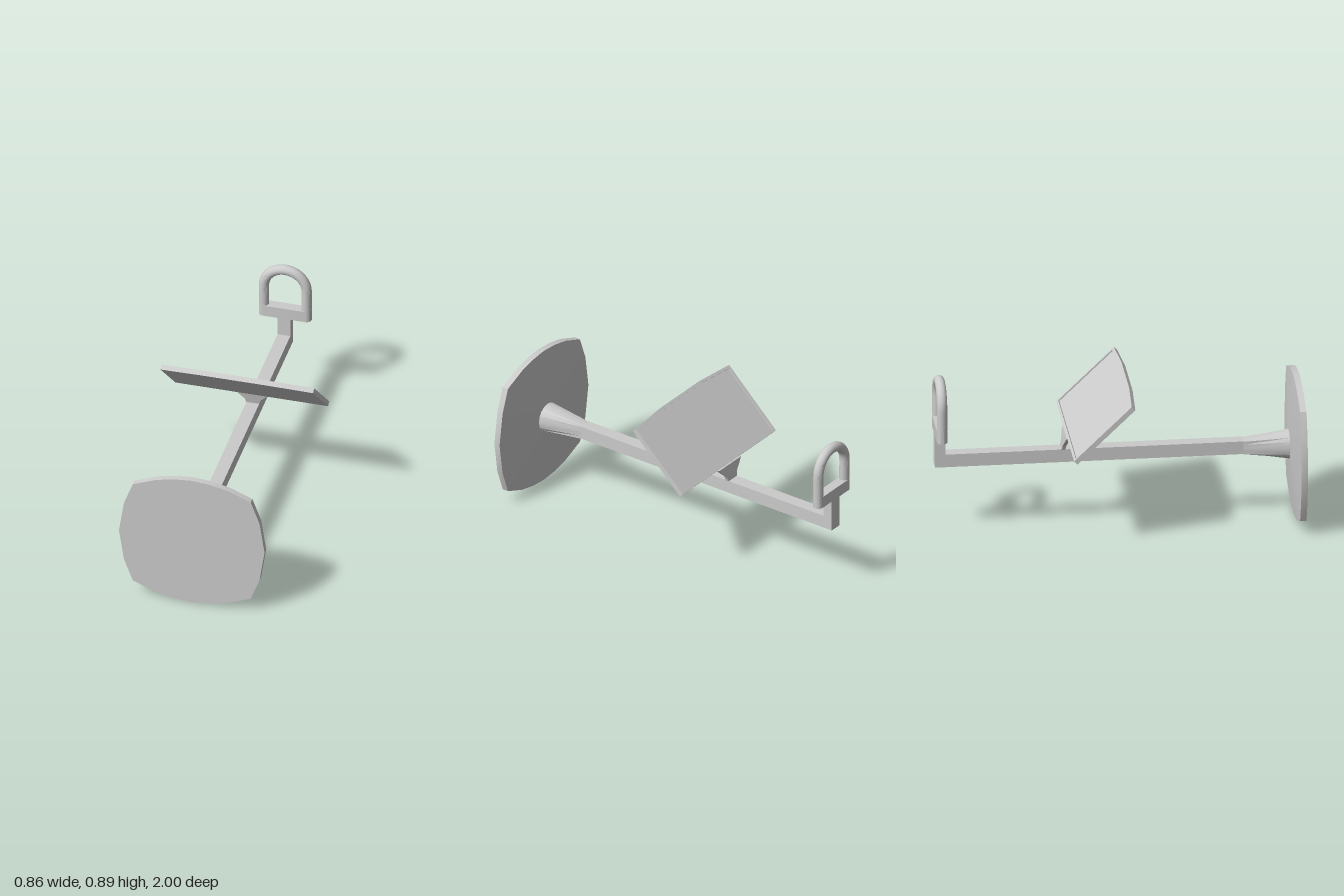
import * as THREE from 'three';
import { toCreasedNormals } from 'three/addons/utils/BufferGeometryUtils.js';

const material = new THREE.MeshStandardMaterial({ color: 0xcccccc });

function add(parent, name, geometry, crease = 0.5) {
  const mesh = new THREE.Mesh(toCreasedNormals(geometry, crease), material);
  mesh.name = name;
  parent.add(mesh);
  return mesh;
}

// Box given by its limits on each axis
function box(x0, x1, y0, y1, z0, z1) {
  return new THREE.BoxGeometry(x1 - x0, y1 - y0, z1 - z0)
    .translate((x0 + x1) / 2, (y0 + y1) / 2, (z0 + z1) / 2);
}

// Closed skin over cross-sections with equal point counts
function loft(sections) {
  const pos = [];
  const tri = (...pts) => pts.forEach((p) => pos.push(p.x, p.y, p.z));
  const n = sections[0].length;
  const centre = (s) => s.reduce((c, p) => c.add(p), new THREE.Vector3()).divideScalar(n);
  const first = sections[0], last = sections[sections.length - 1];
  const c0 = centre(first), c1 = centre(last);
  for (let i = 0; i < n; i++) {
    const j = (i + 1) % n;
    tri(c0, first[i], first[j]);
    for (let k = 0; k + 1 < sections.length; k++) {
      const a = sections[k], b = sections[k + 1];
      tri(a[i], b[i], b[j]);
      tri(a[i], b[j], a[j]);
    }
    tri(c1, last[j], last[i]);
  }
  const g = new THREE.BufferGeometry();
  g.setAttribute('position', new THREE.Float32BufferAttribute(pos, 3));
  return g;
}

// Panel outline with a slightly bowed top edge
function panelPath(path, inset) {
  const w = 0.43 - inset, top = 0.458 - inset;
  path.moveTo(-w, inset);
  path.lineTo(w, inset);
  path.lineTo(w, top - 0.019);
  path.lineTo(0.18, top);
  path.lineTo(-0.18, top);
  path.lineTo(-w, top - 0.019);
  path.closePath();
  return path;
}

export function createModel() {
  const model = new THREE.Group();
  const midY = 0.409;

  // Bulged four-cornered plate flowing through a round collar into the square bar
  const quarter = [[0.41, 0], [0.382, 0.187], [0.332, 0.322], [0.2, 0.375], [0.1, 0.397], [0, 0.406]];
  const outline = [
    ...quarter,
    ...quarter.slice(0, -1).reverse().map(([x, y]) => [-x, y]),
    ...quarter.slice(1).map(([x, y]) => [-x, -y]),
    ...quarter.slice(1, -1).reverse().map(([x, y]) => [x, -y]),
  ];
  const section = (z, f) => outline.map(([x, y]) => {
    const [u, v] = f(x, y);
    return new THREE.Vector3(u, midY + v, z);
  });
  const same = (x, y) => [x, y];
  const round = (x, y) => [x, y].map((c) => c * 0.082 / Math.hypot(x, y));
  const square = (x, y) => {
    const m = Math.max(Math.abs(x) / 0.332, Math.abs(y) / 0.322);
    return [x / 0.332 / m * 0.036, y / 0.322 / m * 0.037];
  };
  add(model, 'frontPlate', loft([section(1, same), section(0.965, same), section(0.94, round)]), 0.4);
  add(model, 'neck', loft([section(0.942, round), section(0.69, square)]));

  // Long bar and upright post at the back
  add(model, 'bar', box(-0.036, 0.036, 0.374, 0.448, -1, 0.69));
  add(model, 'post', box(-0.036, 0.036, 0.448, 0.56, -1, -0.943));

  // D-shaped handle: round-ended base and a bent tube
  const handle = new THREE.Group();
  handle.name = 'handle';
  handle.position.z = -0.9715;
  model.add(handle);
  const r = 0.0285, reach = 0.12, arcY = 0.745;
  const base = new THREE.Shape();
  base.absarc(reach, 0, r, -Math.PI / 2, Math.PI / 2);
  base.absarc(-reach, 0, r, Math.PI / 2, Math.PI * 1.5);
  base.closePath();
  add(handle, 'handleBase', new THREE.ExtrudeGeometry(base, { depth: 0.067, bevelEnabled: false, curveSegments: 8 })
    .rotateX(-Math.PI / 2).translate(0, 0.556, 0));
  const path = [0.615, 0.65, 0.69].map((y) => new THREE.Vector3(reach, y, 0));
  for (let i = 0; i <= 16; i++) {
    const a = Math.PI * i / 16;
    path.push(new THREE.Vector3(reach * Math.cos(a), arcY + reach * Math.sin(a), 0));
  }
  [0.69, 0.65, 0.615].forEach((y) => path.push(new THREE.Vector3(-reach, y, 0)));
  add(handle, 'handleLoop', new THREE.TubeGeometry(new THREE.CatmullRomCurve3(path), 48, r, 16), 0.8);

  // Tilted panel: slab with a thin raised rim
  const panel = new THREE.Group();
  panel.name = 'panel';
  panel.position.set(0, 0.52, -0.265);
  panel.rotation.x = 0.804;
  model.add(panel);
  const slab = panelPath(new THREE.Shape(), 0);
  const rim = panelPath(new THREE.Shape(), 0);
  rim.holes.push(panelPath(new THREE.Path(), 0.015));
  add(panel, 'panelSlab', new THREE.ExtrudeGeometry(slab, { depth: 0.02, bevelEnabled: false })
    .translate(0, 0, -0.02), 0.1);
  add(panel, 'panelRim', new THREE.ExtrudeGeometry(rim, { depth: 0.008, bevelEnabled: false })
    .translate(0, 0, -0.028), 0.1);

  // Flared bracket joining the panel to the bar
  const bracket = [[0.534, 0.1, -0.268], [0.515, 0.085, -0.272], [0.475, 0.045, -0.281], [0.445, 0.036, -0.287]];
  add(model, 'panelBracket', loft(bracket.map(([y, w, z]) =>
    [[w, z], [w, z - 0.021], [-w, z - 0.021], [-w, z]].map(([x, d]) => new THREE.Vector3(x, y, d)))));

  return model;
}
